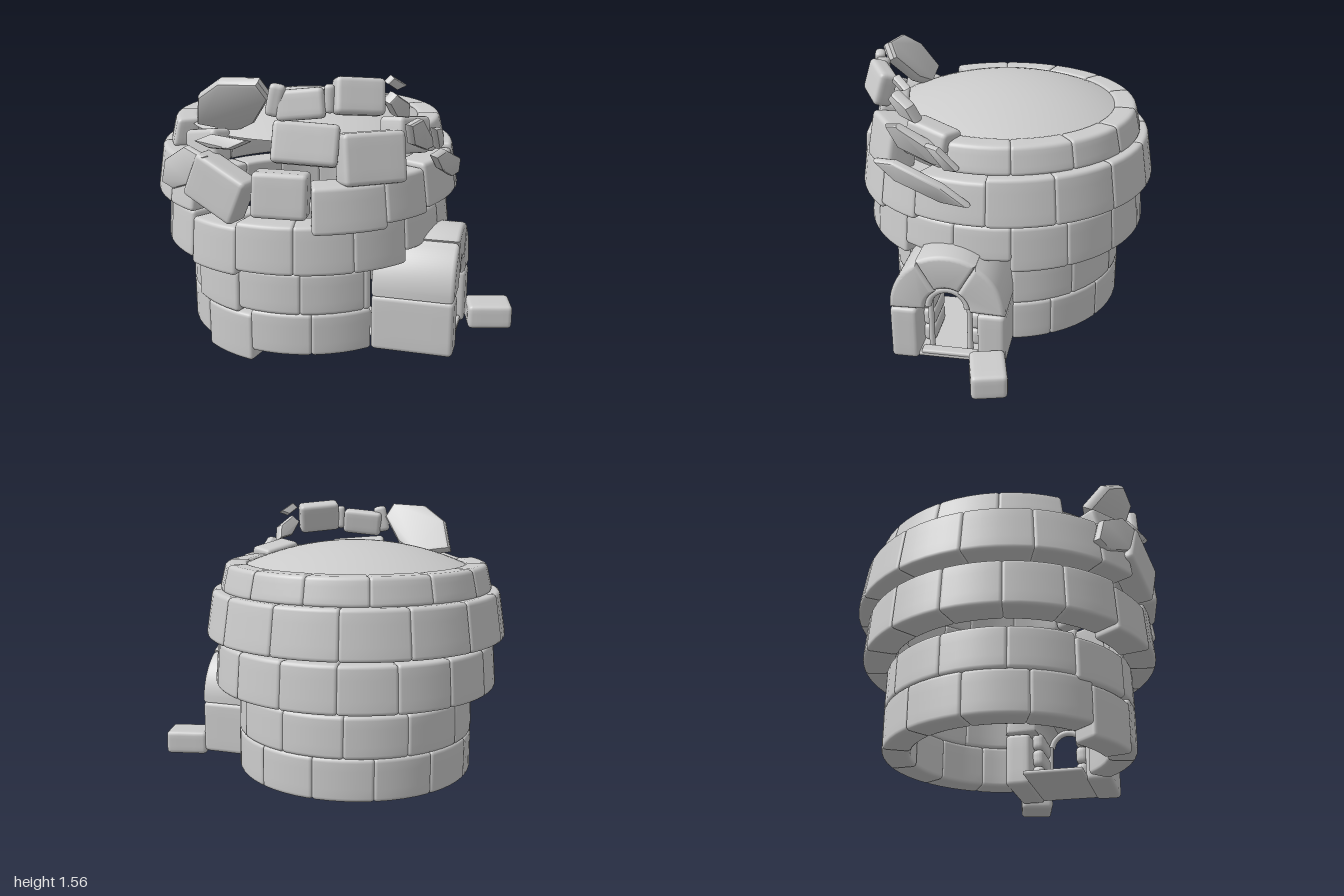
import * as THREE from 'three';
import { mergeVertices, toCreasedNormals } from 'three/addons/utils/BufferGeometryUtils.js';
import { ConvexGeometry } from 'three/addons/geometries/ConvexGeometry.js';

const CX = -0.16; // axis of the round wall
const DEG = Math.PI / 180;
const mat = new THREE.MeshStandardMaterial({ color: 0xcccccc });
const thinMat = new THREE.MeshStandardMaterial({ color: 0xcccccc, side: THREE.DoubleSide });

function add(parent, name, geo, material = mat) {
  const m = new THREE.Mesh(geo, material);
  m.name = name;
  parent.add(m);
  return m;
}

// Block with rounded edges and enough inner divisions to bend; warp moves each vertex.
function blockGeometry(w, h, d, r, warp) {
  const n = 8;
  r = Math.min(r, w * 0.4, h * 0.4, d * 0.4);
  const g = new THREE.BoxGeometry(1, 1, 1, n, n, n);
  g.deleteAttribute('uv');
  g.deleteAttribute('normal');
  const size = [w, h, d], p = g.attributes.position;
  const v = new THREE.Vector3(), c = new THREE.Vector3();
  for (let i = 0; i < p.count; i++) {
    for (let k = 0; k < 3; k++) {
      const half = size[k] / 2, s = Math.round((p.getComponent(i, k) + 0.5) * n) - n / 2;
      const a = Math.abs(s);
      const x = a <= 2 ? (a / 2) * (half - r) : half - r + ((a - 2) / 2) * r;
      v.setComponent(k, Math.sign(s) * x);
      c.setComponent(k, THREE.MathUtils.clamp(v.getComponent(k), r - half, half - r));
    }
    v.sub(c);
    if (v.lengthSq() > 0) v.setLength(r);
    v.add(c);
    if (warp) warp(v);
    p.setXYZ(i, v.x, v.y, v.z);
  }
  const out = mergeVertices(g, 1e-5);
  out.computeVertexNormals();
  return out;
}

// Curved wall block between two angles (0 = front, 90 = the model's left), snug to its neighbours.
function wallBlock(parent, a0, a1, y0, y1, r0, r1, t) {
  const mid = ((a0 + a1) / 2) * DEG, w = (a1 - a0) * DEG * r0 + 0.008, h = y1 - y0;
  add(parent, 'wallBlock', blockGeometry(w, h, t, 0.022, (v) => {
    const ang = mid + v.x / r0;
    const rad = THREE.MathUtils.lerp(r0, r1, v.y / h + 0.5) - t / 2 + v.z;
    v.set(CX + rad * Math.sin(ang), v.y + (y0 + y1) / 2, rad * Math.cos(ang));
  }));
}

// Ring of blocks; shift(mid) may return offsets { dy, dr, cut } for displaced blocks.
function course(parent, name, edges, y0, y1, r0, r1, t, shift = () => null) {
  const g = new THREE.Group();
  g.name = name;
  parent.add(g);
  for (let i = 0; i < edges.length - 1; i++) {
    const { dy = 0, dr = 0, cut = 0 } = shift((edges[i] + edges[i + 1]) / 2) || {};
    wallBlock(g, edges[i], edges[i + 1], y0 + dy + cut, y1 + dy, r0 + dr, r1 + dr, t);
  }
}
const steps = (start, step, count) => Array.from({ length: count + 1 }, (_, i) => start + i * step);

function looseBlock(parent, name, pos, size, rot = [0, 0, 0]) {
  const m = add(parent, name, blockGeometry(...size, 0.026));
  m.position.set(...pos);
  m.rotation.set(...rot);
}

// Flat broken slab from its outline, with chamfered rims.
function shard(parent, outline, t) {
  const pts = outline.map((p) => new THREE.Vector3(...p));
  const c = new THREE.Vector3(), n = new THREE.Vector3();
  pts.forEach((p) => c.addScaledVector(p, 1 / pts.length));
  pts.forEach((p, i) => n.add(p.clone().sub(c).cross(pts[(i + 1) % pts.length].clone().sub(c))));
  n.normalize();
  const hull = [];
  for (const [s, o] of [[1, 0.2], [0.95, 0.42], [0.87, 0.5]])
    for (const side of [-1, 1])
      for (const p of pts) hull.push(p.clone().sub(c).multiplyScalar(s).add(c).addScaledVector(n, side * o * t));
  add(parent, 'brokenSlab', toCreasedNormals(new ConvexGeometry(hull), 0.6));
}

// Wedge-shaped arch stone, extruded inward from the front of the doorway.
function archStone(parent, name, a0, a1, rIn, rOut, depth) {
  const b = 0.022, s = new THREE.Shape();
  const ri = rIn + b, ro = rOut - b;
  s.absarc(0, 0, ro, a0 * DEG + b / ro, a1 * DEG - b / ro, false);
  s.absarc(0, 0, ri, a1 * DEG - b / ri, a0 * DEG + b / ri, true);
  const geo = new THREE.ExtrudeGeometry(s, {
    depth: depth - 2 * b, bevelSize: b, bevelThickness: b, bevelSegments: 3, curveSegments: 10,
  });
  add(parent, name, toCreasedNormals(geo, 0.7)).position.set(0, 0.385, -depth + b);
}

function doorway(parent) {
  const door = new THREE.Group();
  door.name = 'doorway';
  door.position.set(0.69, 0, 0.385);
  door.rotation.y = 76 * DEG;
  parent.add(door);
  for (const s of [-1, 1]) {
    looseBlock(door, 'doorPillar', [s * 0.235, 0.22, -0.22], [0.15, 0.31, 0.44]);
    // stacked inner jamb stones
    for (let i = 0; i < 3; i++)
      looseBlock(door, 'innerJamb', [s * 0.13, 0.145 + i * 0.1, -0.25], [0.07, 0.1, 0.24]);
    const post = add(door, 'trimPost', new THREE.CylinderGeometry(0.016, 0.016, 0.29, 12));
    post.position.set(s * 0.105, 0.245, -0.09);
  }
  archStone(door, 'leftArchStone', 120, 182, 0.12, 0.31, 0.44);
  archStone(door, 'rightArchStone', -2, 60, 0.12, 0.31, 0.44);
  archStone(door, 'keystone', 60, 120, 0.13, 0.32, 0.23);
  const trim = add(door, 'archTrim', new THREE.TorusGeometry(0.105, 0.02, 10, 24, Math.PI));
  trim.position.set(0, 0.39, -0.04);
  looseBlock(door, 'floorSlab', [0, 0.085, -0.31], [0.34, 0.025, 0.58]);
  looseBlock(door, 'doorSill', [0, 0.1, -0.05], [0.3, 0.025, 0.06]);
}

export function createModel() {
  const model = new THREE.Group();
  model.name = 'ruinedBlockHut';

  // Lower wall, open where the doorway stands
  course(model, 'firstCourse', [88, ...steps(107, 28.5, 10)], 0.065, 0.3, 0.67, 0.67, 0.15,
    (a) => (a > 308 && a < 335 ? { dy: -0.03, cut: -0.035 } : null));
  course(model, 'secondCourse', [88, ...steps(118.5, 30, 9), 392], 0.295, 0.525, 0.67, 0.665, 0.15,
    (a) => (a > 300 && a < 328 ? { dy: -0.025, dr: 0.01 } : null));

  // Overhanging upper wall
  course(model, 'thirdCourse', steps(87, 22.5, 16), 0.565, 0.82, 0.8, 0.78, 0.17, (a) => {
    if (a > 402) return { cut: 0.065 };
    return a > 312 && a < 335 ? { dy: -0.03 } : null;
  });
  course(model, 'fourthCourse', [...steps(78, 25, 9), 318], 0.845, 1.105, 0.845, 0.805, 0.17);
  course(model, 'fourthCourseFront', [4, 31, 50, 78], 0.845, 1.08, 0.84, 0.805, 0.17,
    (a) => ({ dy: Math.min(0, (a - 62) * 0.0012) }));
  course(model, 'fifthCourse', steps(61.5, 25.5, 9), 1.1, 1.25, 0.765, 0.73, 0.125);

  // Shallow snow cap
  const R = 1.54;
  add(model, 'roofCap', new THREE.SphereGeometry(R, 64, 12, 0, Math.PI * 2, 0, Math.asin(0.65 / R)), thinMat)
    .position.set(CX, 1.365 - R, 0);

  doorway(model);

  // Blocks knocked out of the wall
  looseBlock(model, 'fallenBlock', [0.875, 0.11, 0.18], [0.25, 0.14, 0.19]);
  looseBlock(model, 'tiltedBlock', [-0.57, 0.99, 0.65], [0.32, 0.25, 0.14], [0, -0.5, -0.42]);
  looseBlock(model, 'tiltedBlock', [-0.26, 0.975, 0.73], [0.28, 0.23, 0.15], [-0.1, -0.1, -0.04]);
  looseBlock(model, 'tiltedBlock', [-0.14, 1.21, 0.65], [0.33, 0.21, 0.15], [-0.3, 0, -0.08]);
  looseBlock(model, 'tiltedBlock', [0.18, 1.14, 0.64], [0.33, 0.26, 0.16], [-0.2, 0.35, 0.06]);
  looseBlock(model, 'tiltedBlock', [0.36, 1.21, 0.43], [0.26, 0.19, 0.15], [-0.2, 0.9, 0]);
  looseBlock(model, 'tiltedBlock', [-0.65, 1.16, 0.48], [0.24, 0.17, 0.12], [-0.2, -0.75, 0.05]);

  // Remains of the upper rim in front
  looseBlock(model, 'rimBlock', [-0.16, 1.42, 0.71], [0.24, 0.15, 0.08], [-0.2, -0.1, 0.08]);
  looseBlock(model, 'rimBlock', [0.12, 1.455, 0.69], [0.25, 0.18, 0.1], [-0.3, 0.3, 0]);
  looseBlock(model, 'rimChip', [-0.28, 1.44, 0.71], [0.08, 0.16, 0.06], [0, 0, -0.2]);
  looseBlock(model, 'rimChip', [-0.02, 1.45, 0.72], [0.05, 0.14, 0.05]);

  // Broken slabs leaning outward
  shard(model, [[-0.71, 1.27, 0.4], [-0.68, 1.43, 0.51], [-0.56, 1.52, 0.61], [-0.36, 1.53, 0.68],
    [-0.31, 1.45, 0.65], [-0.4, 1.3, 0.52], [-0.5, 1.24, 0.44]], 0.07);
  shard(model, [[-0.9, 0.95, 0.42], [-0.87, 1.08, 0.45], [-0.74, 1.18, 0.57], [-0.63, 1.15, 0.67],
    [-0.7, 1.0, 0.62], [-0.83, 0.93, 0.48]], 0.05);
  shard(model, [[-0.7, 1.2, 0.56], [-0.6, 1.25, 0.62], [-0.4, 1.25, 0.76], [-0.5, 1.2, 0.73],
    [-0.62, 1.18, 0.62]], 0.04);
  shard(model, [[0.36, 1.31, 0.66], [0.42, 1.33, 0.6], [0.47, 1.22, 0.4], [0.52, 1.12, 0.27],
    [0.46, 1.13, 0.42], [0.38, 1.2, 0.6]], 0.05);
  shard(model, [[0.48, 1.17, 0.72], [0.54, 1.18, 0.62], [0.64, 1.08, 0.38], [0.65, 0.97, 0.25],
    [0.6, 0.98, 0.38], [0.52, 1.08, 0.62]], 0.05);
  shard(model, [[0.5, 1.25, 0.46], [0.54, 1.24, 0.4], [0.56, 1.13, 0.3], [0.53, 1.12, 0.36]], 0.04);
  shard(model, [[0.25, 1.42, 0.63], [0.29, 1.46, 0.61], [0.36, 1.4, 0.53], [0.36, 1.32, 0.49],
    [0.29, 1.34, 0.57]], 0.06);
  shard(model, [[0.25, 1.51, 0.61], [0.28, 1.54, 0.6], [0.35, 1.49, 0.54], [0.3, 1.47, 0.56]], 0.04);

  return model;
}
